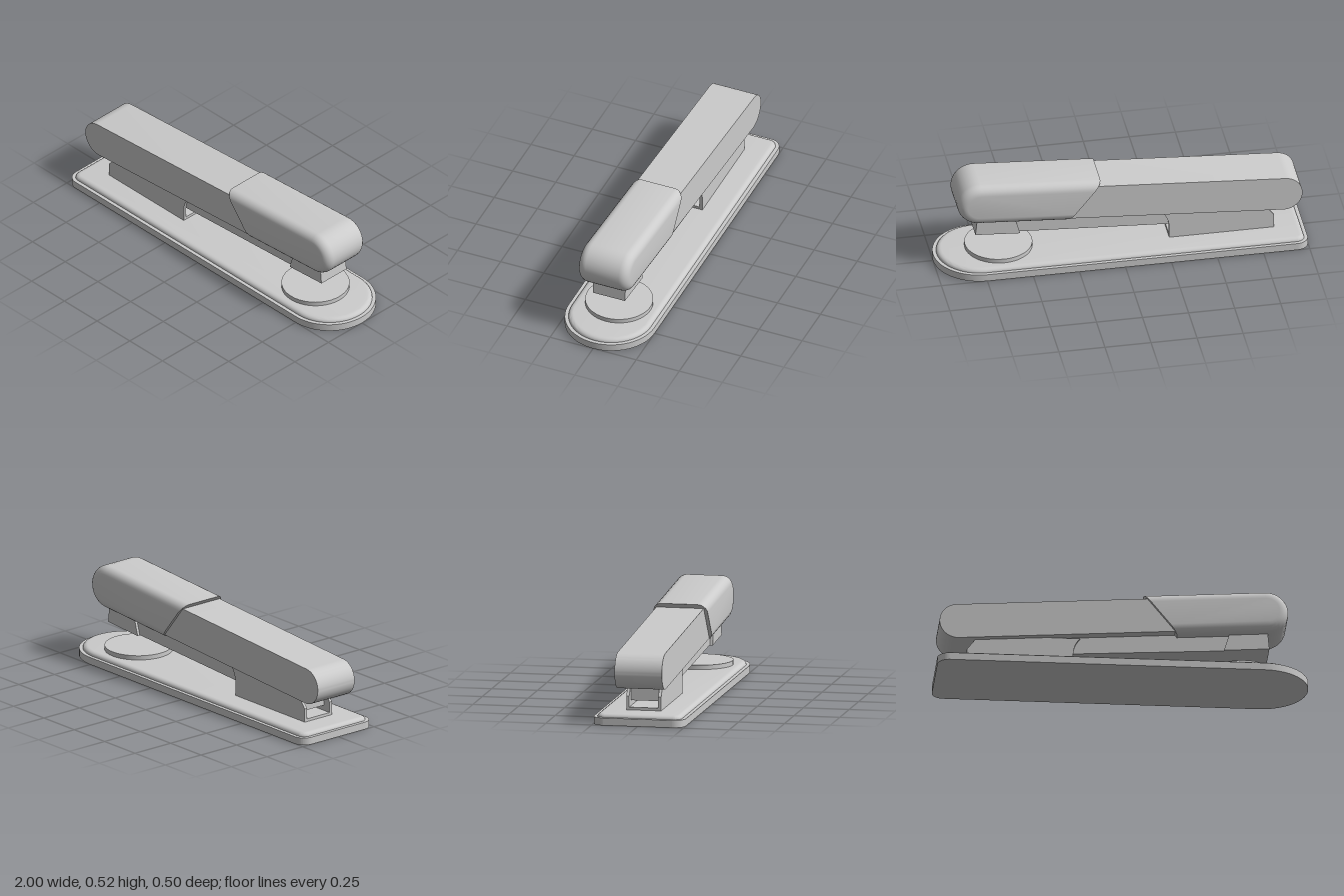
import * as THREE from 'three';
import { toCreasedNormals } from 'three/addons/utils/BufferGeometryUtils.js';

const material = new THREE.MeshStandardMaterial({ color: 0xcccccc });
const TILT = 0.068; // slope of the arm and head

function add(parent, name, geometry, crease = 0.6) {
  const mesh = new THREE.Mesh(toCreasedNormals(geometry, crease), material);
  mesh.name = name;
  parent.add(mesh);
  return mesh;
}

const polygon = (points) => new THREE.Shape(points.map(([x, y]) => new THREE.Vector2(x, y)));

// Side profile in x/y, extruded to a width centred on z
function slab(shape, width, z = 0) {
  const g = new THREE.ExtrudeGeometry(shape, { depth: width, bevelEnabled: false, curveSegments: 16 });
  return g.translate(0, 0, z - width / 2);
}

// Base outline: round front end, small rounded rear corners
function baseOutline(inset) {
  const w = 0.25 - inset, r = 0.065 - inset, back = -1 + inset;
  const s = new THREE.Shape();
  s.moveTo(back + r, -w);
  s.lineTo(0.75, -w);
  s.absarc(0.75, 0, w, -Math.PI / 2, Math.PI / 2, false);
  s.lineTo(back + r, w);
  s.absarc(back + r, w - r, r, Math.PI / 2, Math.PI, false);
  s.lineTo(back, -w + r);
  s.absarc(back + r, -w + r, r, Math.PI, Math.PI * 1.5, false);
  return s;
}

function plate(inset, y, options) {
  const g = new THREE.ExtrudeGeometry(baseOutline(inset), { curveSegments: 14, ...options });
  return g.rotateX(-Math.PI / 2).translate(0, y, 0);
}

// Head cover: layers across z, inset towards both sides to round the long edges,
// while the slanted rear cut stays flat
function coverGeometry() {
  const H = 0.118, W = 0.147, R = 0.05, STEPS = 6, ARC = 16;
  const layers = [];
  for (let i = 0; i <= STEPS; i++) {
    const a = (i / STEPS) * Math.PI / 2;
    layers.push([-W + R - R * Math.cos(a), R * (1 - Math.sin(a))]);
  }
  for (let i = STEPS; i >= 0; i--) layers.push([-layers[i][0], layers[i][1]]);

  const position = [], index = [];
  const n = ARC + 3;
  for (const [z, inset] of layers) {
    const h = H - inset;
    position.push(-0.569 + 0.7 * h, -h, z);
    for (let j = 0; j <= ARC; j++) {
      const a = -Math.PI / 2 + (j / ARC) * Math.PI;
      position.push(h * Math.cos(a), h * Math.sin(a), z);
    }
    position.push(-0.569 - 0.7 * h, h, z);
  }
  for (let i = 0; i < layers.length - 1; i++) {
    for (let j = 0; j < n; j++) {
      const a = i * n + j, b = i * n + (j + 1) % n;
      index.push(a, b, b + n, a, b + n, a + n);
    }
  }
  const last = (layers.length - 1) * n;
  for (let j = 1; j < n - 1; j++) {
    index.push(0, j + 1, j);
    index.push(last, last + j, last + j + 1);
  }
  const g = new THREE.BufferGeometry();
  g.setAttribute('position', new THREE.Float32BufferAttribute(position, 3));
  g.setIndex(index);
  return g;
}

export function createModel() {
  const model = new THREE.Group();
  model.name = 'stapler';

  // Stepped base with a softened upper plate
  const base = new THREE.Group();
  base.name = 'base';
  model.add(base);
  add(base, 'baseLower', plate(0, 0, { depth: 0.04, bevelEnabled: false }));
  add(base, 'baseUpper', plate(0.045, 0.035, {
    depth: 0.005, bevelThickness: 0.02, bevelSize: 0.025, bevelSegments: 4,
  }));

  // Round anvil
  add(base, 'anvil', new THREE.CylinderGeometry(0.182, 0.182, 0.03, 40)).position.set(0.645, 0.069, 0);

  // Rear bracket: two side plates on a thin floor
  const bracket = new THREE.Group();
  bracket.name = 'bracket';
  model.add(bracket);
  const side = polygon([[-0.835, 0.055], [-0.265, 0.055], [-0.265, 0.13]]);
  side.quadraticCurveTo(-0.262, 0.185, -0.228, 0.219);
  side.lineTo(-0.77, 0.219);
  side.lineTo(-0.835, 0.135);
  for (const s of [1, -1]) add(bracket, 'bracketSide', slab(side, 0.016, s * 0.087));
  add(bracket, 'bracketFloor', new THREE.BoxGeometry(0.57, 0.02, 0.16)).position.set(-0.55, 0.065, 0);

  // Staple magazine and its front block
  add(model, 'magazine', slab(polygon([
    [-0.79, 0.105], [0.7, 0.192], [0.7, 0.32], [-0.79, 0.23],
  ]), 0.156));
  add(model, 'magazineFront', slab(polygon([
    [0.543, 0.18], [0.786, 0.197], [0.775, 0.31], [0.578, 0.3],
  ]), 0.186));

  // Tilted upper body: arm and head cover
  const upper = new THREE.Group();
  upper.name = 'upperBody';
  upper.position.set(0.768, 0.402, 0);
  upper.rotation.z = TILT;
  model.add(upper);
  const arm = new THREE.Shape();
  arm.moveTo(-0.15, -0.103);
  arm.lineTo(-0.15, 0.093);
  arm.lineTo(-1.657, 0.093);
  arm.absarc(-1.657, -0.005, 0.098, Math.PI / 2, Math.PI * 1.5, false);
  add(upper, 'arm', slab(arm, 0.258));
  add(upper, 'headCover', coverGeometry());

  return model;
}
